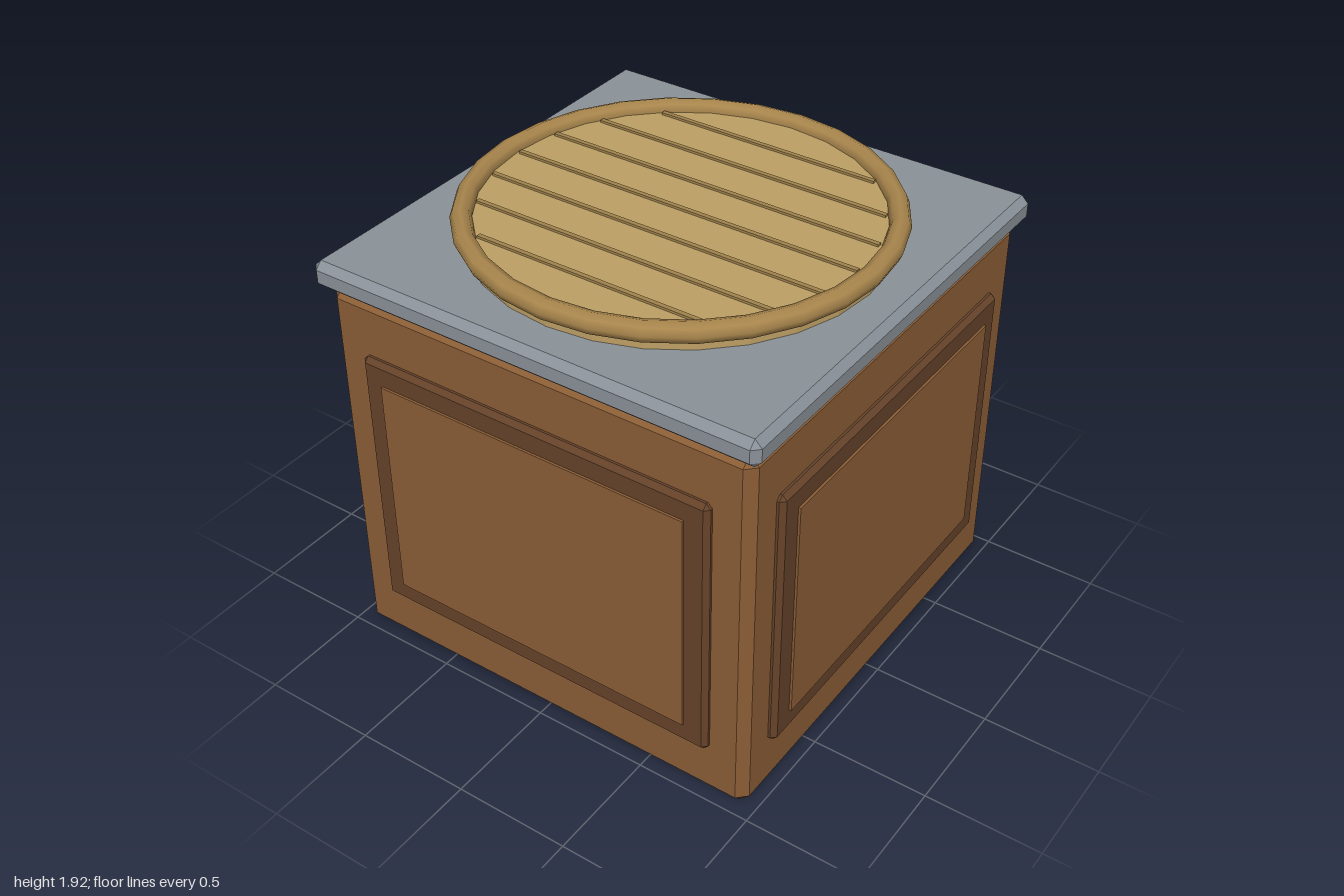
import * as THREE from 'three';
import { ConvexGeometry } from 'three/addons/geometries/ConvexGeometry.js';

const SIDES = 28;
const paint = (color, flatShading = false) => new THREE.MeshStandardMaterial({ color, flatShading });

// Box with every edge cut by a flat chamfer c, centred on the origin
function chamferBox(w, h, d, c) {
  const points = [];
  for (const sx of [-1, 1]) for (const sy of [-1, 1]) for (const sz of [-1, 1]) {
    const x = w / 2, y = h / 2, z = d / 2;
    points.push(
      new THREE.Vector3(sx * x, sy * (y - c), sz * (z - c)),
      new THREE.Vector3(sx * (x - c), sy * y, sz * (z - c)),
      new THREE.Vector3(sx * (x - c), sy * (y - c), sz * z));
  }
  return new ConvexGeometry(points);
}

function add(parent, name, geometry, material, x = 0, y = 0, z = 0) {
  const mesh = new THREE.Mesh(geometry, material);
  mesh.name = name;
  mesh.position.set(x, y, z);
  parent.add(mesh);
  return mesh;
}

export function createModel() {
  const model = new THREE.Group();
  model.name = 'pedestal';

  const wood = paint(0x8b5e36, true);
  const darkWood = paint(0x66432a, true);
  const stone = paint(0x8a9198, true);
  const straw = paint(0xbd9f64, true);
  const rim = paint(0xa8854c);
  const strip = paint(0xa0824c, true);

  // Wooden body and stone slab
  add(model, 'body', chamferBox(1.92, 1.685, 1.92, 0.04), wood, 0, 0.8425);
  add(model, 'topSlab', chamferBox(2, 0.117, 2, 0.03), stone, 0, 1.744);

  // Framed raised panel on each of the four sides
  const frameGeometry = chamferBox(1.6, 1.2, 0.06, 0.02);
  const panelGeometry = new THREE.BoxGeometry(1.4, 1, 0.06);
  for (let i = 0; i < 4; i++) {
    const side = new THREE.Group();
    side.name = 'sidePanel';
    side.rotation.y = i * Math.PI / 2;
    add(side, 'panelFrame', frameGeometry, darkWood, 0, 0.84, 0.96);
    add(side, 'panelInset', panelGeometry, wood, 0, 0.84, 0.97);
    model.add(side);
  }

  // Round lid with a rolled rim
  add(model, 'lidDisc', new THREE.CylinderGeometry(0.84, 0.84, 0.08, SIDES), straw, 0, 1.84);
  const rimGeometry = new THREE.TorusGeometry(0.84, 0.043, 8, SIDES).rotateX(-Math.PI / 2);
  add(model, 'lidRim', rimGeometry, rim, 0, 1.88);

  // Narrow strips across the lid
  for (let i = -3; i <= 3; i++) {
    const z = i * 0.2;
    const length = 2 * Math.sqrt(0.785 ** 2 - z * z);
    add(model, 'lidStrip', new THREE.BoxGeometry(length, 0.02, 0.02), strip, 0, 1.88, z);
  }
  return model;
}
